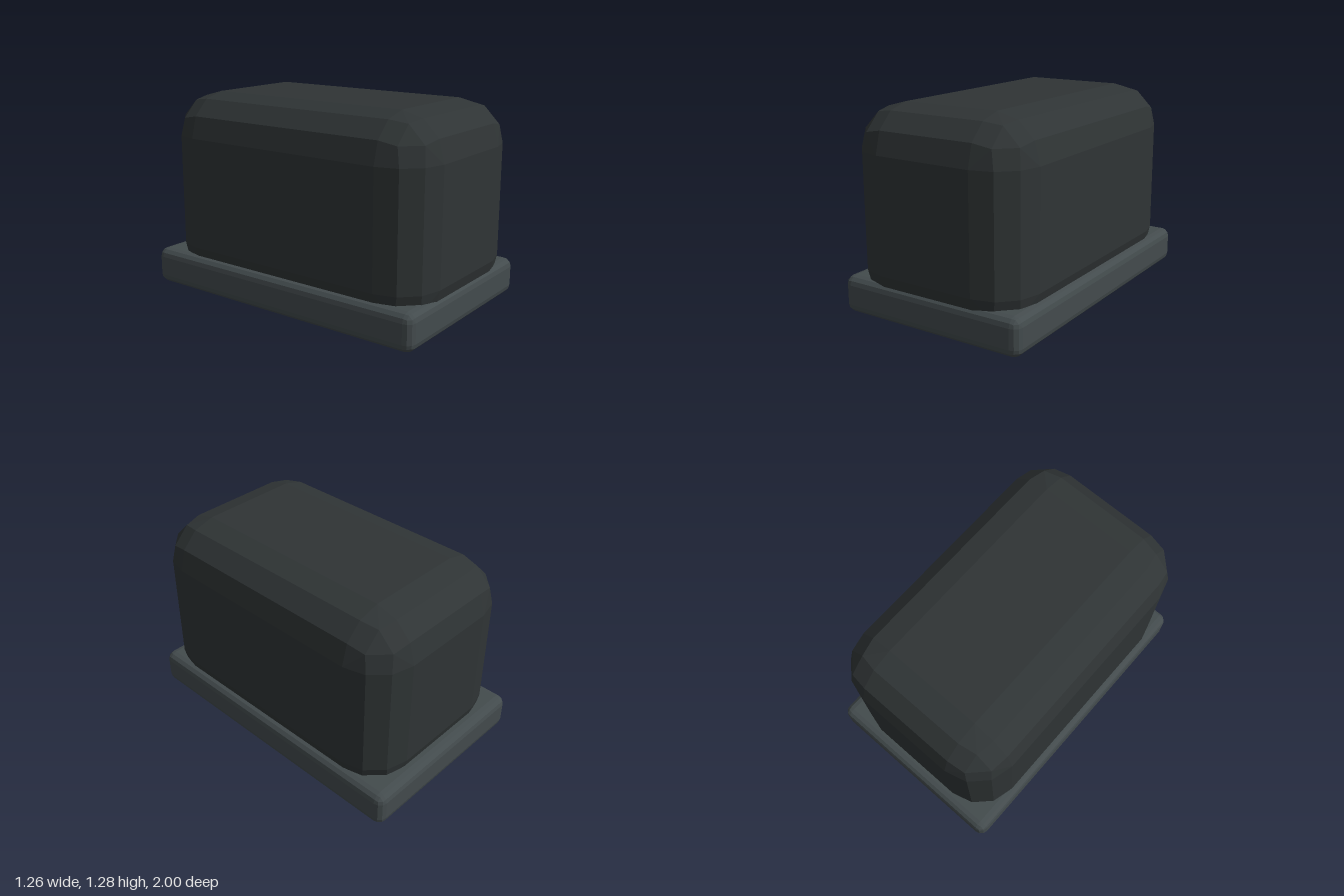
import * as THREE from 'three';
import { ConvexGeometry } from 'three/addons/geometries/ConvexGeometry.js';

// Directions of one rounded corner: three poles, two steps along each edge arc, three inner points
function cornerDirections() {
  const c = Math.cos(Math.PI / 6), s = 0.5;
  const dirs = [];
  for (const [a, b, d] of [[1, 0, 0], [c, s, 0], [s, c, 0], [0.806, 0.419, 0.419]]) {
    for (let k = 0; k < 3; k++) {
      const v = [0, 0, 0];
      v[k] = a;
      v[(k + 1) % 3] = b;
      v[(k + 2) % 3] = d;
      dirs.push(v);
    }
  }
  return dirs;
}

// Box with faceted three-step bevels on every edge
function beveledBox(width, height, depth, radius) {
  const points = [];
  for (const sx of [-1, 1]) for (const sy of [-1, 1]) for (const sz of [-1, 1]) {
    for (const [x, y, z] of cornerDirections()) {
      points.push(new THREE.Vector3(
        sx * (width / 2 - radius + radius * x),
        sy * (height / 2 - radius + radius * y),
        sz * (depth / 2 - radius + radius * z)
      ));
    }
  }
  return new ConvexGeometry(points);
}

function addPart(group, name, geometry, color, y, z) {
  const material = new THREE.MeshStandardMaterial({ color, flatShading: true });
  const mesh = new THREE.Mesh(geometry, material);
  mesh.name = name;
  mesh.position.set(0, y, z);
  group.add(mesh);
}

export function createModel() {
  const group = new THREE.Group();
  group.name = 'coveredBox';

  // Flat base slab
  addPart(group, 'base', beveledBox(1.262, 0.234, 2, 0.055), 0x434b4d, 0.117, 0);

  // Large rounded housing, flush with the front of the base and sunk into it
  addPart(group, 'housing', beveledBox(1.194, 1.27, 1.93, 0.275), 0x2f3435, 0.65, 0.034);

  return group;
}
